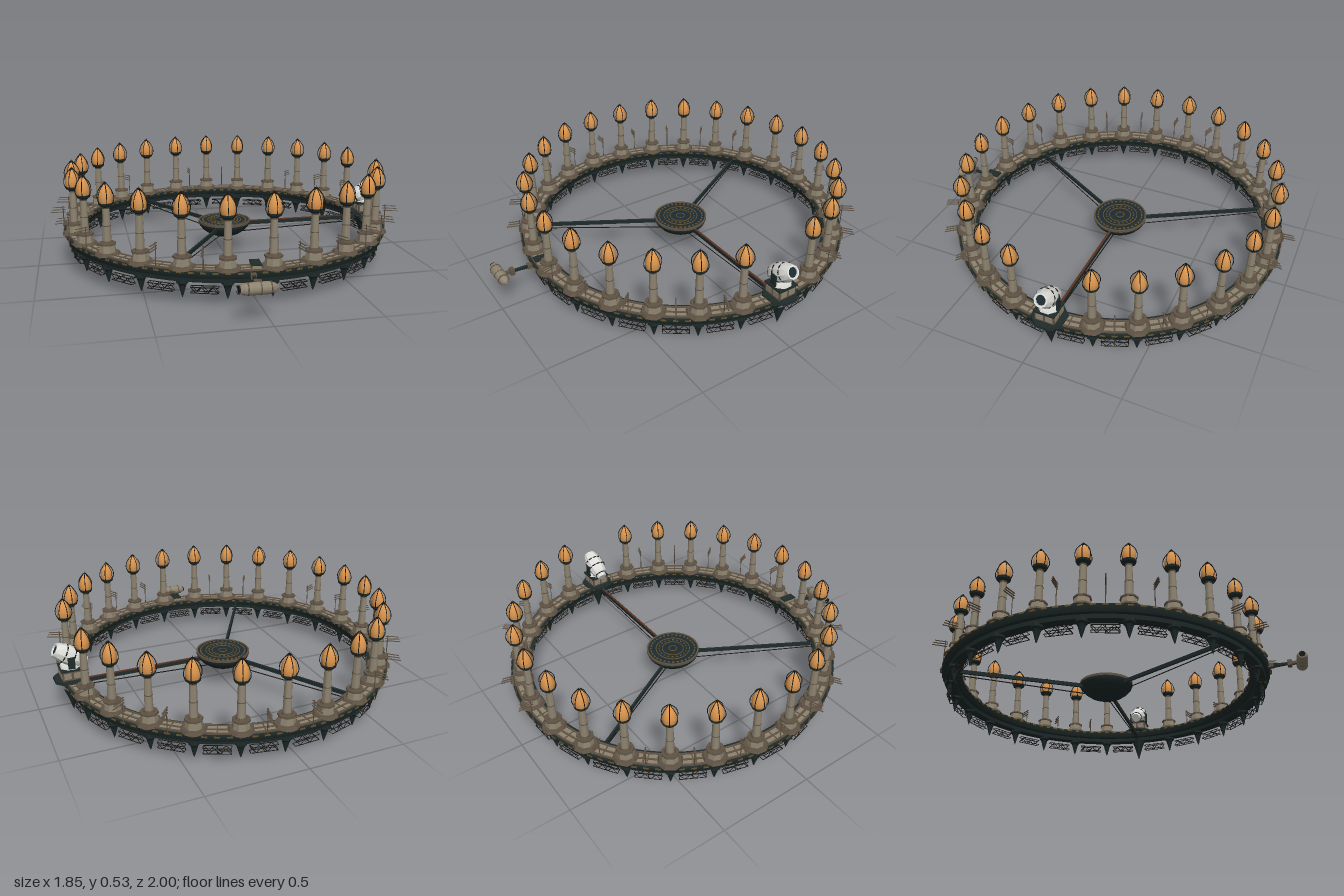
import * as THREE from 'three';
import { mergeGeometries, toCreasedNormals } from 'three/addons/utils/BufferGeometryUtils.js';

const mat = (name, color) => new THREE.MeshStandardMaterial({ name, color });
const M = {
  hull: mat('dark hull', 0x1f2b2a), tan: mat('tan plating', 0x8d8370), brown: mat('brown trim', 0x5f5244),
  orange: mat('amber glass', 0xd9954f), black: mat('black iron', 0x1a1917), white: mat('pale metal', 0xdededa),
  gold: mat('aged gold', 0x66532c), copper: mat('copper pipe', 0x5a3322), blue: mat('hub blue', 0x1d2a31),
};
const R = 0.822, COUNT = 25, STEP = (Math.PI * 2) / COUNT;
const V = (x, y, z) => new THREE.Vector3(x, y, z);

const lathe = (pts, seg) => toCreasedNormals(
  new THREE.LatheGeometry(pts.map(p => new THREE.Vector2(p[0], p[1])), seg), 0.6);
const box = (w, h, d, x = 0, y = 0, z = 0) => new THREE.BoxGeometry(w, h, d).translate(x, y, z);
const cyl = (r1, r0, y0, y1, seg = 8) => toCreasedNormals(
  new THREE.CylinderGeometry(r1, r0, y1 - y0, seg).rotateY(Math.PI / seg).translate(0, (y0 + y1) / 2, 0), 0.6);

// straight bar between two points
function bar(a, b, r, seg = 4) {
  const d = b.clone().sub(a), g = new THREE.CylinderGeometry(r, r, d.length(), seg);
  g.applyQuaternion(new THREE.Quaternion().setFromUnitVectors(V(0, 1, 0), d.normalize()));
  const m = a.clone().add(b).multiplyScalar(0.5);
  return g.translate(m.x, m.y, m.z);
}
const merge = list => mergeGeometries(list.map(g => (g.index ? g.toNonIndexed() : g)));
// evenly spaced copies of a geometry around the y axis
const around = (n, make) => merge(Array.from({ length: n }, (_, i) => make().rotateY((i * Math.PI * 2) / n)));

function add(parent, name, geo, material) {
  const m = new THREE.Mesh(geo, material);
  m.name = name;
  parent.add(m);
  return m;
}
function spot(parent, name, angle, radius = 0) {
  const pivot = new THREE.Group(), g = new THREE.Group();
  pivot.rotation.y = angle;
  g.position.x = radius;
  g.name = name;
  pivot.name = name + 'Pivot';
  pivot.add(g);
  parent.add(pivot);
  return g;
}

// parts of one lamp, reused at every station
function lampParts() {
  const rib = new THREE.CatmullRomCurve3(
    [V(0.03, 0.415, 0), V(0.042, 0.448, 0), V(0.034, 0.484, 0), V(0.003, 0.524, 0)]);
  const cage = [around(6, () => new THREE.TubeGeometry(rib, 8, 0.002, 4)), cyl(0.001, 0.004, 0.508, 0.53, 5)];
  return [
    ['lampFlange', merge([cyl(0.056, 0.065, 0.176, 0.19), cyl(0.043, 0.043, 0.226, 0.234),
      cyl(0.022, 0.027, 0.234, 0.244)]), M.brown],
    ['lampPedestal', cyl(0.037, 0.041, 0.19, 0.226), M.tan],
    ['lampPost', cyl(0.0165, 0.021, 0.234, 0.41, 12), M.tan],
    ['lampCollars', merge([cyl(0.02, 0.02, 0.315, 0.319, 12), cyl(0.02, 0.0175, 0.4, 0.41, 12)]), M.brown],
    ['lampCup', lathe([[0, 0.406], [0.02, 0.407], [0.033, 0.417], [0.036, 0.427], [0.031, 0.429]], 12), M.hull],
    ['lampBulb', lathe([[0.031, 0.425], [0.0345, 0.44], [0.034, 0.46], [0.027, 0.485], [0.014, 0.506], [0, 0.516]], 14), M.orange],
    ['lampCage', merge(cage), M.black],
  ];
}

// box truss hung under the ring between two spikes
function trussGeometry() {
  const g = [], L = 0.063, n = 5;
  for (const x of [-0.012, 0.014]) {
    for (const y of [0.064, 0.091]) g.push(bar(V(x, y, -L), V(x, y, L), 0.0022));
    for (let i = 0; i < n; i++) {
      const z0 = -L + (2 * L * i) / n, z1 = z0 + (2 * L) / n, up = i % 2;
      g.push(bar(V(x, up ? 0.091 : 0.064, z0), V(x, up ? 0.064 : 0.091, z1), 0.0018));
    }
  }
  for (const z of [-L, 0, L]) for (const y of [0.064, 0.091]) g.push(bar(V(-0.012, y, z), V(0.014, y, z), 0.0018));
  return merge(g);
}

function addRing(root) {
  const rim = [[0.795, 0.118], [0.845, 0.118], [0.848, 0.138], [0.86, 0.142], [0.872, 0.165], [0.872, 0.176],
    [0.768, 0.176], [0.768, 0.165], [0.78, 0.142], [0.792, 0.138], [0.795, 0.118]];
  add(root, 'ringHull', lathe(rim, 100), M.hull);
  const band = (a, b, y0, y1) => lathe([[a, y0], [b, y0], [b, y1], [a, y1], [a, y0]], 100);
  add(root, 'ringDeck', band(0.793, 0.851, 0.174, 0.18), M.tan);
  add(root, 'deckTrim', merge([band(0.851, 0.86, 0.174, 0.184), band(0.784, 0.793, 0.174, 0.184)]), M.brown);
  // small plates set along the outer and inner edges
  add(root, 'edgePlates', merge([around(100, () => box(0.006, 0.008, 0.026, 0.871, 0.171)),
    around(100, () => box(0.006, 0.008, 0.022, 0.769, 0.171))]), M.gold);
}

function addHub(root) {
  add(root, 'hubBowl', lathe([[0, 0.087], [0.03, 0.089], [0.06, 0.096], [0.09, 0.109], [0.118, 0.129], [0.136, 0.15],
    [0.142, 0.165], [0.142, 0.176], [0.13, 0.178]], 40), M.hull);
  add(root, 'hubTop', lathe([[0.136, 0.176], [0, 0.178]], 40), M.blue);
  add(root, 'hubRim', lathe([[0.143, 0.168], [0.143, 0.181], [0.135, 0.181], [0.135, 0.176]], 40), M.brown);
  const rings = [0.022, 0.058, 0.092].map(r => lathe([[r + 0.002, 0.176], [r + 0.002, 0.18], [r - 0.002, 0.18], [r - 0.002, 0.176]], 36));
  add(root, 'hubInlay', merge([...rings, around(32, () => box(0.008, 0.005, 0.012, 0.12, 0.1775)),
    around(20, () => box(0.006, 0.005, 0.01, 0.075, 0.178))]), M.gold);
  // three spokes, each with a stay cable below
  for (let i = 0; i < 3; i++) {
    const s = spot(root, 'spoke', (i * Math.PI * 2) / 3);
    add(s, 'spokeBeam', box(0.67, 0.02, 0.011, 0.455, 0.152), M.hull);
    add(s, 'stayCable', bar(V(0.08, 0.106, 0), V(0.797, 0.13, 0), 0.003), M.black);
    if (i === 0) add(s, 'spokePipe', box(0.67, 0.004, 0.011, 0.455, 0.164), M.copper);
  }
}

function addObservatory(root) {
  const g = spot(root, 'observatory', 0, 0.825);
  add(g, 'platform', cyl(0.088, 0.09, 0.174, 0.188), M.hull);
  add(g, 'platformSpike', lathe([[0, 0.0], [0.006, 0.02], [0.024, 0.08], [0.042, 0.125]], 8), M.hull);
  add(g, 'house', box(0.1, 0.05, 0.1, 0, 0.211), M.brown);
  add(g, 'houseRoof', box(0.11, 0.008, 0.11, 0, 0.24), M.hull);
  add(g, 'turntable', cyl(0.048, 0.052, 0.244, 0.256), M.white);
  const panes = [];
  for (let i = 0; i < 4; i++) for (const z of [-0.024, 0.024])
    panes.push(box(0.004, 0.03, 0.036, 0.051, 0.212, z).rotateY((i * Math.PI) / 2));
  add(g, 'housePanels', merge(panes), M.tan);
  // fork mount and tilted tube
  add(g, 'mountArms', merge([-1, 1].map(s => box(0.034, 0.06, 0.008, 0, 0.28, s * 0.05))), M.hull);
  const t = new THREE.Group();
  t.name = 'telescope';
  t.position.set(-0.006, 0.3, 0);
  t.rotation.z = -1.03;
  g.add(t);
  add(t, 'telescopeTube', lathe([[0, -0.085], [0.026, -0.085], [0.032, -0.062], [0.043, -0.05], [0.048, -0.015], [0.048, 0.04],
    [0.04, 0.07], [0.034, 0.088], [0.026, 0.088], [0.024, 0.078]], 10), M.white);
  add(t, 'telescopeLens', cyl(0.026, 0.026, 0.066, 0.081, 10), M.blue);
  add(t, 'telescopeBands', merge([cyl(0.0495, 0.0495, -0.012, -0.006, 10), cyl(0.0495, 0.0495, 0.034, 0.04, 10),
    cyl(0.034, 0.034, -0.066, -0.061, 10)]), M.black);
}

function addDock(root) {
  const g = spot(root, 'dock', STEP * 18.5);
  add(g, 'dockGate', box(0.07, 0.022, 0.04, 0.822, 0.189, -0.02), M.tan);
  add(g, 'dockGateRoof', box(0.08, 0.006, 0.046, 0.822, 0.203, -0.02), M.hull);
  add(g, 'dockArm', merge([box(0.12, 0.012, 0.014, 0.925, 0.163), bar(V(0.86, 0.15, 0), V(0.98, 0.16, 0), 0.004)]), M.hull);
  add(g, 'dockCollar', merge([box(0.022, 0.03, 0.034, 0.975, 0.163), box(0.03, 0.022, 0.026, 0.88, 0.163),
    box(0.05, 0.014, 0.018, 1.0, 0.163)]), M.brown);
  // moored vessel lying across the arm
  const s = new THREE.Group();
  s.name = 'vessel';
  s.position.set(-0.067, 0.164, 1.034);
  s.rotation.z = -Math.PI / 2;
  root.add(s);
  add(s, 'vesselHull', lathe([[0, -0.085], [0.018, -0.085], [0.026, -0.068], [0.028, -0.03], [0.028, 0.04], [0.02, 0.066], [0.009, 0.08], [0, 0.083]], 12), M.tan);
  add(s, 'vesselBands', merge([-0.055, 0.0, 0.045].map(y => cyl(0.0288, 0.0288, y, y + 0.005, 12))), M.brown);
  add(s, 'vesselEngine', cyl(0.013, 0.016, -0.092, -0.084, 10), M.black);
}

export function createModel() {
  const model = new THREE.Group(), ring = new THREE.Group();
  model.name = 'lampRing';
  ring.name = 'ringAssembly';
  ring.position.set(0.01, 0, -0.065);
  model.add(ring);
  addRing(ring);
  addHub(ring);
  addObservatory(ring);
  addDock(ring);

  const lamp = lampParts(), truss = trussGeometry();
  const spike = lathe([[0, 0.033], [0.005, 0.045], [0.016, 0.085], [0.021, 0.1], [0.03, 0.108], [0.03, 0.128]], 8);
  const ribs = merge([...[-0.055, 0, 0.055].map(z => box(0.062, 0.008, 0.005, 0, 0.179, z)), box(0.01, 0.008, 0.1, 0, 0.179)]);
  const mast = merge([bar(V(0, 0.17, 0), V(0, 0.3, 0), 0.0025),
    ...[0.268, 0.281, 0.294].map((y, i) => box(0.078 - i * 0.006, 0.003, 0.006, 0.027 - i * 0.003, y))]);
  const noMast = [0, 4, 7, 15, 18, 24];

  for (let k = 0; k < COUNT; k++) {
    // lamp and spike stations; station 0 holds the observatory
    if (k > 0) {
      const g = spot(ring, 'lamp', k * STEP, R);
      lamp.forEach(([name, geo, m]) => add(g, name, geo, m));
      add(g, 'spike', spike, M.hull);
    }
    // bays between stations
    const b = spot(ring, 'bay', (k + 0.5) * STEP, R);
    add(b, 'truss', truss, M.black);
    add(b, 'deckRibs', ribs, M.brown);
    if (!noMast.includes(k)) add(b, 'mast', mast, M.brown).position.x = 0.048;
  }
  return model;
}
